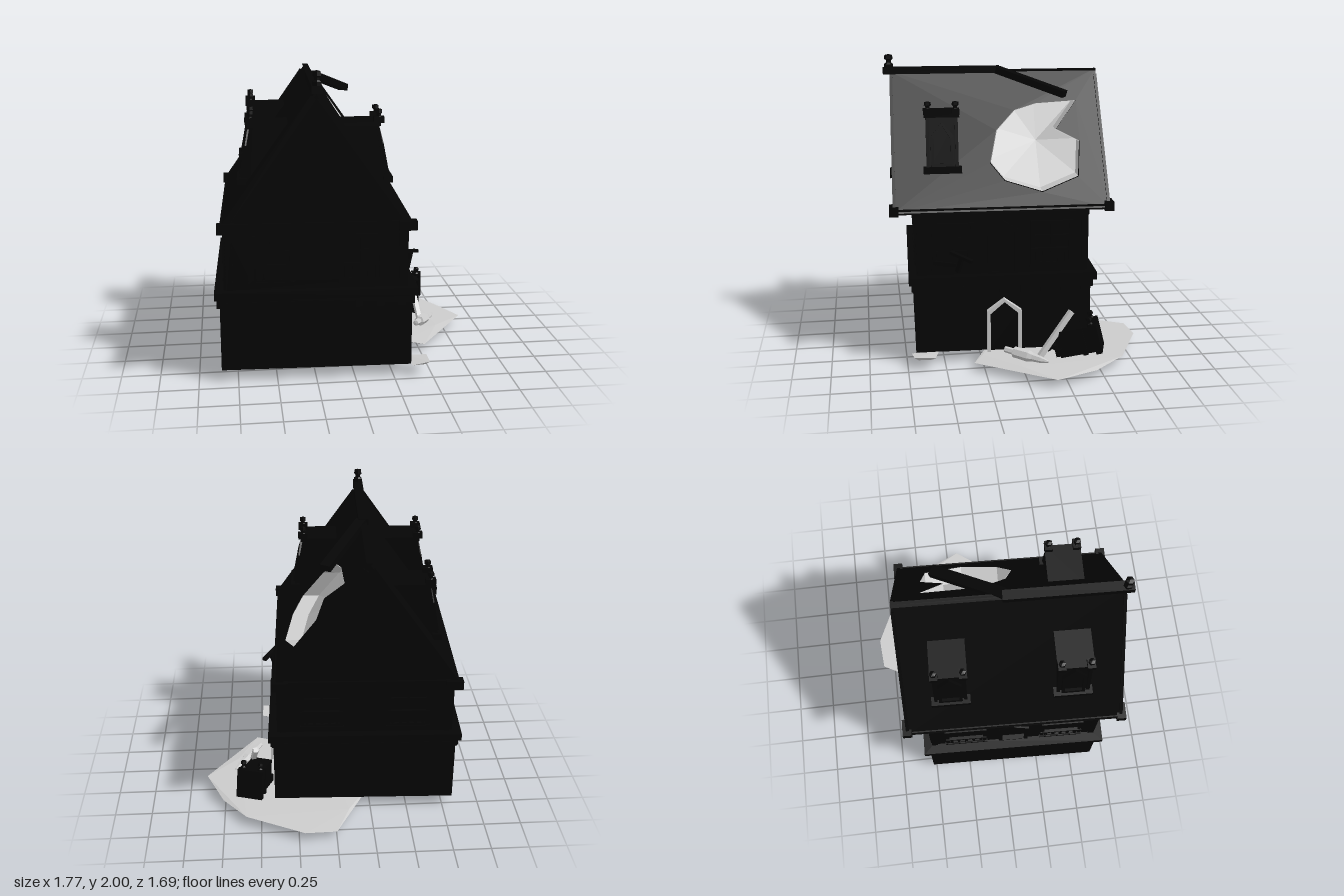
import * as THREE from 'three';
import { ConvexGeometry } from 'three/addons/geometries/ConvexGeometry.js';

const dark = new THREE.MeshStandardMaterial({ color: 0x050505, flatShading: true, side: THREE.DoubleSide });
const grey = new THREE.MeshStandardMaterial({ color: 0xcccccc, flatShading: true, side: THREE.DoubleSide });
const V = (x, y, z) => new THREE.Vector3(x, y, z);

function add(parent, name, geo, mat = dark, x = 0, y = 0, z = 0) {
  const m = new THREE.Mesh(geo, mat);
  m.name = name;
  m.position.set(x, y, z);
  parent.add(m);
  return m;
}
const box = (p, name, w, h, d, x, y, z, mat = dark) => add(p, name, new THREE.BoxGeometry(w, h, d), mat, x, y, z);

function group(parent, name, x = 0, y = 0, z = 0, ry = 0) {
  const g = new THREE.Group();
  g.name = name;
  g.position.set(x, y, z);
  g.rotation.y = ry;
  parent.add(g);
  return g;
}

// square timber running from a to b, in the parent's own frame
function beam(p, name, a, b, w, h, mat = dark) {
  const m = box(p, name, w, h, a.distanceTo(b), 0, 0, 0, mat);
  m.position.copy(a).lerp(b, 0.5);
  m.quaternion.setFromRotationMatrix(new THREE.Matrix4().lookAt(b, a, V(0, 1, 0)));
}

const polygon = pts => new THREE.Shape(pts.map(([x, y]) => new THREE.Vector2(x, y)));
const extrude = (shape, depth) => new THREE.ExtrudeGeometry(shape, { depth, bevelEnabled: false });
const rect = (w, d) => [[-w / 2, -d / 2], [w / 2, -d / 2], [w / 2, d / 2], [-w / 2, d / 2]];

// moulding running around the house, standing on height y
function ring(p, name, w, d, h, y, band) {
  const s = polygon(rect(w, d));
  s.holes.push(polygon(rect(w - 2 * band, d - 2 * band)));
  add(p, name, extrude(s, h), dark, 0, y, 0).rotation.x = -Math.PI / 2;
}

// opening outline with a pointed or flat head, standing on y = 0
const outline = (w, h, peak, i = 0, bottom = 0) => [
  [-w / 2 + i, bottom], [w / 2 - i, bottom], [w / 2 - i, h - peak - i * 0.8], [0, h - i], [-w / 2 + i, h - peak - i * 0.8],
];
const shift = (pts, dx, dy) => pts.map(([x, y]) => [x + dx, y + dy]);
function frame(w, h, peak, t, depth, sill = t) {
  const s = polygon(outline(w, h, peak));
  s.holes.push(polygon(outline(w, h, peak, t, sill)));
  return extrude(s, depth);
}

function finial(p, x, y, z, s = 1) {
  const pts = [[0.03, 0], [0.03, 0.025], [0.017, 0.035], [0.017, 0.05], [0.029, 0.06], [0.026, 0.085], [0, 0.092]];
  const geo = new THREE.LatheGeometry(pts.map(([r, v]) => new THREE.Vector2(r * s, v * s)), 6);
  return add(p, 'finial', geo, dark, x, y, z);
}

// window facing +z, with a recessed pane and low balustrade
function windowUnit(p, x) {
  const g = group(p, 'window', x, 0.65, 0);
  add(g, 'windowFrame', frame(0.28, 0.31, 0, 0.025, 0.012), dark);
  box(g, 'pane', 0.26, 0.3, 0.008, 0, 0.155, -0.025);
  box(g, 'mullion', 0.015, 0.3, 0.015, 0, 0.155, -0.015);
  box(g, 'transom', 0.25, 0.015, 0.015, 0, 0.2, -0.015);
  box(g, 'rail', 0.28, 0.02, 0.02, 0, 0.115, 0.008);
  for (let i = -2; i <= 2; i++) box(g, 'baluster', 0.02, 0.09, 0.015, i * 0.05, 0.06, 0.004);
  box(g, 'sill', 0.29, 0.02, 0.02, 0, 0, 0.008);
}

// roof slope: half width at height y
const APEX = 1.885, EAVE = 1.05, HALF = 0.59;
const slopeX = y => HALF * (APEX - y) / (APEX - EAVE);
const HOLE = [[-0.065, 1.315], [-0.01, 1.51], [0.12, 1.63], [0.27, 1.67], [0.55, 1.685],
  [0.395, 1.51], [0.55, 1.435], [0.52, 1.225], [0.27, 1.14], [0.025, 1.21]];

function roofPanel(holed) {
  const s = polygon([[-0.71, EAVE - 0.01], [0.71, EAVE - 0.01], [0.71, APEX], [-0.71, APEX]]);
  if (holed) s.holes.push(polygon(HOLE));
  const geo = extrude(s, 0.02), p = geo.attributes.position;
  for (let i = 0; i < p.count; i++) {
    const x = p.getX(i), y = p.getY(i), d = p.getZ(i);
    p.setXYZ(i, slopeX(y) + d - 0.02, y, -x);
  }
  geo.computeVertexNormals();
  return geo;
}

// hollow behind the roof hole: a straight sleeve closed by a creased back
function cavity() {
  const n = HOLE.length, pos = [], idx = [];
  for (const depth of [0.002, 0.11])
    for (const [s, y] of HOLE) {
      const yy = 1.42 + (y - 1.42) * 0.985;
      pos.push(slopeX(yy) - depth, yy, -(0.27 + (s - 0.27) * 0.985));
    }
  pos.push(slopeX(1.42) - 0.16, 1.42, -0.27);
  for (let i = 0; i < n; i++) {
    const j = (i + 1) % n;
    idx.push(i, j, n + j, i, n + j, n + i, n + i, n + j, 2 * n);
  }
  const g = new THREE.BufferGeometry();
  g.setAttribute('position', new THREE.Float32BufferAttribute(pos, 3));
  g.setIndex(idx);
  g.computeVertexNormals();
  return g;
}

// flat-topped dormer facing +x
function dormer(p, z, ry) {
  const g = group(group(p, 'dormer', 0, 0, 0, ry), 'dormerBody', 0, 0, z);
  add(g, 'dormerWalls', extrude(polygon([[0.40, 1.27], [0.455, 1.27], [0.385, 1.63], [0.15, 1.63]]), 0.2), dark, 0, 0, -0.1);
  box(g, 'dormerRoof', 0.27, 0.025, 0.23, 0.275, 1.64, 0);
  box(g, 'dormerSill', 0.06, 0.04, 0.25, 0.455, 1.29, 0);
  const w = group(g, 'dormerWindow', 0.45, 1.31, 0, Math.PI / 2);
  add(w, 'dormerWindowFrame', frame(0.15, 0.29, 0.09, 0.02, 0.02)).rotation.x = -0.19;
  for (const s of [-1, 1]) {
    box(g, 'finialBase', 0.065, 0.04, 0.05, 0.397, 1.665, s * 0.09);
    finial(g, 0.397, 1.66, s * 0.09, 0.8);
    beam(g, 'dormerPost', V(0.455, 1.28, s * 0.095), V(0.387, 1.64, s * 0.095), 0.02, 0.02);
  }
}

function stone(p, name, rim, y, bottom, cx, cz, shrink) {
  const pts = [];
  rim.forEach(([x, z], i) => {
    pts.push(V(x, y + (i % 3) * 0.008, z));
    pts.push(V(cx + (x - cx) * shrink, bottom, cz + (z - cz) * shrink));
  });
  add(p, name, new ConvexGeometry(pts), grey);
}

export function createModel() {
  const model = new THREE.Group();
  model.name = 'ruinedHouse';
  const house = group(model, 'house', -0.225, 0, 0.085, -0.035);

  // lower storey, belt course and plate
  box(house, 'lowerWalls', 1.22, 0.46, 1.17, 0, 0.31, 0);
  ring(house, 'beltLower', 1.24, 1.2, 0.055, 0.508, 0.06);
  ring(house, 'beltUpper', 1.285, 1.245, 0.05, 0.56, 0.085);
  ring(house, 'wallPlate', 1.17, 1.15, 0.03, 0.995, 0.03);

  // upper walls with openings, brackets below
  for (let k = 0; k < 4; k++) {
    const hasDoor = k % 2 === 1;
    const half = hasDoor ? 0.575 : 0.565, low = hasDoor ? 0.61 : 0.585, w = hasDoor ? 0.565 : 0.575;
    const gap = hasDoor ? 0.325 : 0.285;
    const side = group(house, 'wallSide', 0, 0, 0, k * Math.PI / 2);
    const face = group(side, 'wallFace', 0, 0, half);
    const wall = polygon([[-w, 0.6], [w, 0.6], [w, 1.04], [-w, 1.04]]);
    for (const s of [-1, 1]) {
      wall.holes.push(polygon(shift(outline(0.25, 0.28, 0), s * gap, 0.665)));
      windowUnit(face, s * gap);
      box(face, 'cornerPost', 0.04, 0.4, 0.016, s * 0.545, 0.8, 0);
    }
    if (hasDoor) {
      wall.holes.push(polygon(shift(outline(0.16, 0.34, 0.06), 0, 0.615)));
      add(face, 'balconyDoorFrame', frame(0.2, 0.36, 0.06, 0.025, 0.012, 0.01), dark, 0, 0.61, 0);
      box(face, 'balconyDoor', 0.18, 0.32, 0.012, 0, 0.77, -0.03);
    }
    add(face, 'upperWall', extrude(wall, 0.02), dark, 0, 0, -0.02);
    for (let i = -4; i <= 4; i++) box(side, 'bracket', 0.05, 0.05, 0.03, i * 0.135, 0.515, low + 0.005);
  }

  // roof with gables and eaves
  add(house, 'rightRoofSlope', roofPanel(true));
  add(house, 'leftRoofSlope', roofPanel(false)).rotation.y = Math.PI;
  add(house, 'roofHollow', cavity(), grey);
  ring(house, 'soffit', 1.17, 1.4, 0.025, 1.033, 0.14);
  for (const s of [-1, 1]) {
    const gable = polygon([[-0.57, 1.04], [0.57, 1.04], [0, 1.86]]);
    add(house, 'gable', extrude(gable, 0.02), dark, 0, 0, s * 0.685 - 0.01);
    box(house, 'gableTie', 1.1, 0.05, 0.02, 0, 1.05, s * 0.7);
    for (const t of [-1, 1]) {
      box(house, 'eaveBlock', 0.11, 0.06, 0.06, t * 0.555, 1.05, s * 0.705);
      box(house, 'eaveBoard', 0.03, 0.035, 1.4, t * 0.575, 1.045, 0);
      beam(house, 'bargeBoard', V(t * 0.565, 1.065, s * 0.702), V(t * 0.02, 1.84, s * 0.702), 0.02, 0.04);
    }
  }
  beam(house, 'ridgeBeam', V(0, 1.888, 0.755), V(0, 1.888, -0.04), 0.065, 0.044);
  finial(house, 0, 1.908, 0.715);
  dormer(house, 0.38, 0);
  dormer(house, 0.4, Math.PI);
  dormer(house, -0.38, Math.PI);
  beam(model, 'brokenRidgeBeam', V(-0.21, 1.885, 0.06), V(0.05, 1.745, -0.36), 0.07, 0.045);

  // door frame on the right wall
  const door = group(model, 'door', 0.365, 0.08, 0.102, Math.PI / 2 - 0.035);
  add(door, 'doorFrame', frame(0.23, 0.37, 0.085, 0.022, 0.06, 0), grey);
  add(door, 'doorLeaf', extrude(polygon(outline(0.19, 0.345, 0.08)), 0.03));

  // broken balcony rail under the right front window
  beam(model, 'brokenRail', V(0.36, 0.77, 0.45), V(0.46, 0.73, 0.32), 0.03, 0.02);
  beam(model, 'railPost', V(0.38, 0.64, 0.41), V(0.41, 0.75, 0.38), 0.025, 0.025);
  beam(model, 'railStub', V(0.35, 0.7, 0.56), V(0.39, 0.69, 0.42), 0.025, 0.025);

  // stones on the ground
  stone(model, 'groundSlab', [[0, -0.83], [0.21, -0.845], [0.6, -0.66], [0.76, -0.45], [0.885, -0.17],
    [0.67, 0.02], [0.53, 0.32], [0.42, 0.25], [0.05, 0.1], [-0.31, -0.25], [-0.1, -0.6]], 0.055, 0.004, 0.3, -0.25, 0.72);
  stone(model, 'smallStone', [[0.36, 0.54], [0.49, 0.57], [0.485, 0.71], [0.37, 0.72]], 0.08, 0.068, 0.42, 0.63, 0.65);

  // fallen plank and splintered log
  beam(model, 'plank', V(0.575, 0.08, -0.1), V(0.53, 0.38, -0.325), 0.03, 0.035, grey);
  const log = new THREE.LatheGeometry([[0, -0.155], [0.02, -0.15], [0.022, -0.09], [0.036, -0.085], [0.038, 0.02],
    [0.028, 0.05], [0.022, 0.11], [0.006, 0.165], [0, 0.165]].map(([r, y]) => new THREE.Vector2(r, y)), 6);
  const logMesh = add(model, 'log', log, grey, 0.59, 0.115, -0.01);
  logMesh.quaternion.setFromUnitVectors(V(0, 1, 0), V(0.55, -0.1, -0.82).normalize());

  // collapsed dormer lying beside the house
  const fallen = group(model, 'fallenDormer', 0.535, 0.19, -0.38, -0.3);
  fallen.rotation.order = 'YXZ';
  fallen.rotation.x = 0.25;
  box(fallen, 'fallenBody', 0.14, 0.18, 0.24, 0, 0, 0.02);
  box(fallen, 'fallenCap', 0.18, 0.2, 0.04, 0, 0, -0.12);
  box(fallen, 'fallenSill', 0.16, 0.05, 0.05, 0, -0.05, 0.14);
  for (const s of [-1, 1]) {
    box(fallen, 'fallenPost', 0.03, 0.19, 0.03, s * 0.07, 0, -0.03);
    finial(fallen, s * 0.06, 0.09, -0.1, 0.7);
  }
  finial(fallen, 0, -0.03, 0.16, 0.9).rotation.x = Math.PI / 2;
  return model;
}
